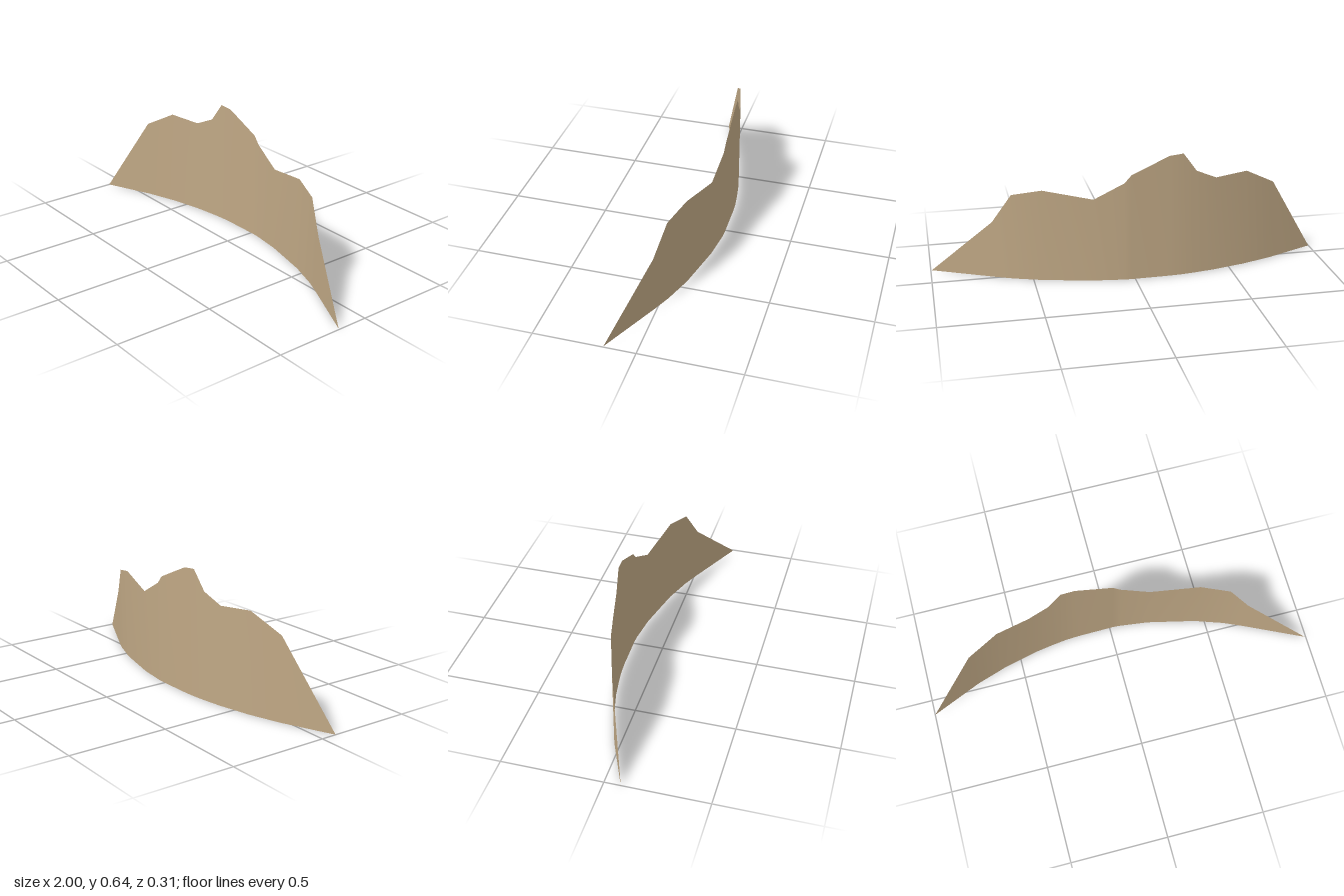
import * as THREE from 'three';

// Ridge line from right to left: x, height, depth on the curved footprint
const RIDGE = [
  [-1, 0, 0.08], [-0.745, 0.42, -0.03], [-0.585, 0.507, -0.083],
  [-0.415, 0.497, -0.124], [-0.31, 0.545, -0.141], [-0.24, 0.641, -0.15],
  [-0.17, 0.635, -0.154], [0.02, 0.55, -0.157], [0.055, 0.51, -0.155],
  [0.205, 0.43, -0.136], [0.45, 0.475, -0.08], [0.595, 0.445, -0.03],
  [0.69, 0.295, 0.012], [0.995, 0, 0.157],
];

export function createModel() {
  const group = new THREE.Group();
  group.name = 'mountainBackdrop';

  const sandstone = new THREE.MeshStandardMaterial({ color: 0xc0a885, side: THREE.DoubleSide });
  sandstone.name = 'sandstone';

  // Curved upright sheet: top row follows the ridge, bottom row the ground
  const n = RIDGE.length;
  const geometry = new THREE.PlaneGeometry(2, 1, n - 1, 1);
  const position = geometry.attributes.position;
  RIDGE.forEach(([x, y, z], i) => {
    position.setXYZ(i, x, y, z);
    position.setXYZ(n + i, x, 0, z);
  });
  geometry.computeVertexNormals();

  const ridge = new THREE.Mesh(geometry, sandstone);
  ridge.name = 'mountainRidge';
  group.add(ridge);
  return group;
}
